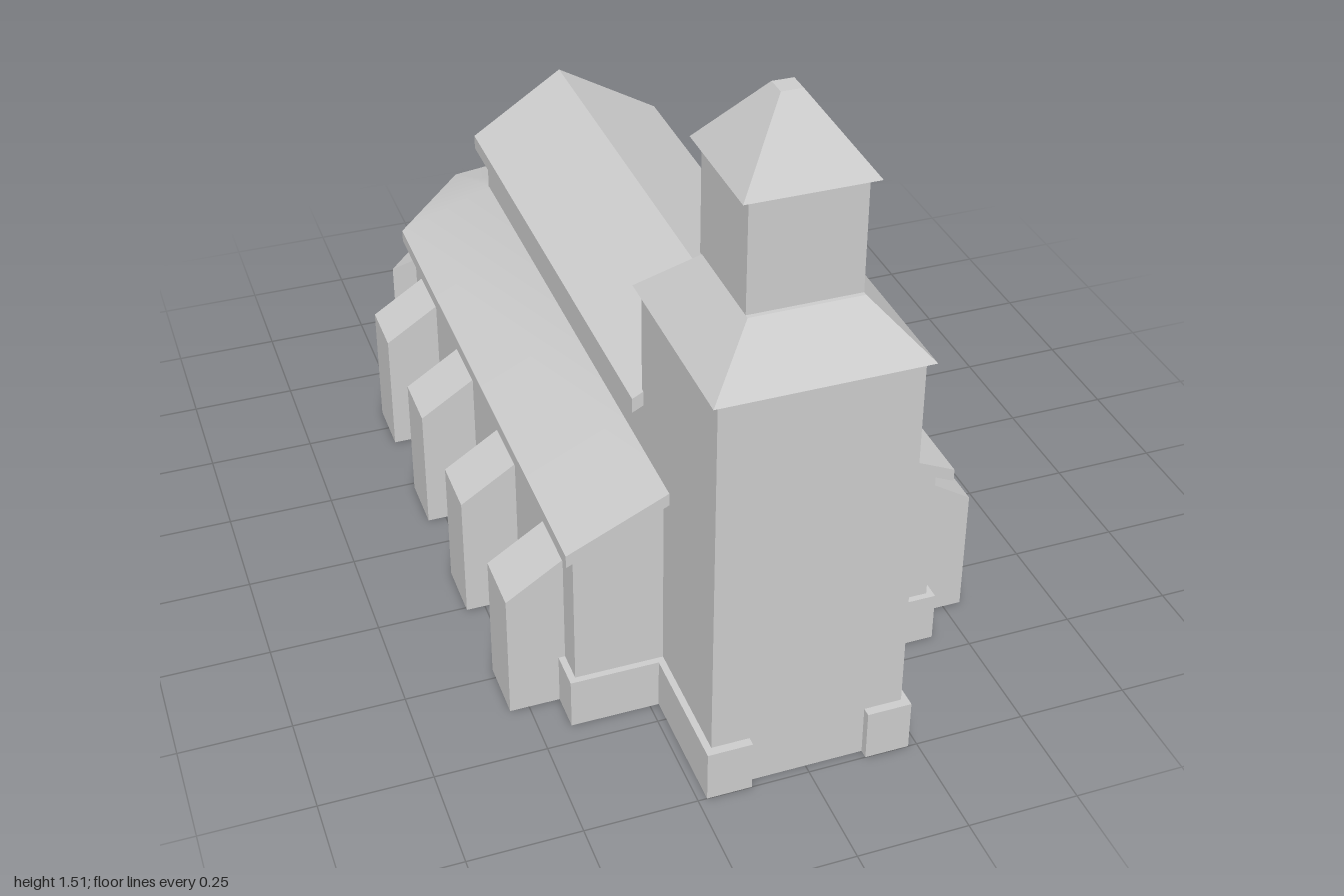
import * as THREE from 'three';
import { toCreasedNormals } from 'three/addons/utils/BufferGeometryUtils.js';

const stone = new THREE.MeshStandardMaterial({ color: 0xcccccc, side: THREE.DoubleSide });
stone.name = 'paleStone';

function mesh(name, geometry) {
  const m = new THREE.Mesh(toCreasedNormals(geometry, 0.5), stone);
  m.name = name;
  return m;
}

// Skin through sections [[x, y, z], ...]; optional closed profile and end caps
function loft(sections, { closed = false, caps = false } = {}) {
  const n = sections[0].length, pos = [], idx = [];
  sections.forEach(s => s.forEach(p => pos.push(...p)));
  for (let i = 0; i < sections.length - 1; i++) {
    for (let j = 0; j < (closed ? n : n - 1); j++) {
      const k = (j + 1) % n;
      const a = i * n + j, b = a + n, c = (i + 1) * n + k, d = i * n + k;
      idx.push(a, b, c, a, c, d);
    }
  }
  if (caps) {
    const last = (sections.length - 1) * n;
    for (let j = 1; j < n - 1; j++) {
      idx.push(0, j, j + 1, last, last + j + 1, last + j);
    }
  }
  const g = new THREE.BufferGeometry();
  g.setAttribute('position', new THREE.Float32BufferAttribute(pos, 3));
  g.setIndex(idx);
  return g;
}

// Completes a half run of sections (left side to the rear) with its mirror image
function mirrored(half) {
  const other = half.map(s => s.map(([x, y, z]) => [-x, y, z])).reverse();
  if (half[half.length - 1].every(p => p[0] === 0)) other.shift();
  return [...half, ...other];
}

// Four-sided block or frustum given by its half widths
function square(bottom, top, y0, y1, z, open) {
  const g = new THREE.CylinderGeometry(top * Math.SQRT2, bottom * Math.SQRT2, y1 - y0, 4, 1, open);
  return g.rotateY(Math.PI / 4).translate(0, (y0 + y1) / 2, z);
}

export function createModel() {
  const church = new THREE.Group();
  church.name = 'church';

  // Tower
  const tower = new THREE.Group();
  tower.name = 'tower';
  tower.add(
    mesh('towerShaft', square(0.215, 0.215, 0, 0.99, 0.765, true)),
    mesh('towerSkirtRoof', square(0.23, 0.122, 0.988, 1.102, 0.767)),
    mesh('belfry', square(0.122, 0.122, 1.1, 1.357, 0.757, true)),
    mesh('spire', square(0.14, 0.023, 1.355, 1.51, 0.757)),
  );
  church.add(tower);

  // Aisle and apse walls: x, z, top height
  const wall = [[0.215, 0.685, 0.56], [0.415, 0.685, 0.463], [0.415, -0.635, 0.463],
    [0.22, -0.855, 0.468], [0, -0.895, 0.468]];
  church.add(mesh('aisleWalls', loft(mirrored(wall.map(([x, z, h]) => [[x, 0, z], [x, h, z]])))));

  // Lean-to roof wrapped round the apse: eave x, z and head x, z
  const lean = [[0.44, 0.72, 0.212, 0.72], [0.44, -0.657, 0.212, -0.625],
    [0.235, -0.895, 0.17, -0.64], [0, -0.94, 0, -0.675]];
  church.add(mesh('aisleRoof', loft(mirrored(lean.map(([x, z, u, w]) => [
    [x, 0.455, z], [x, 0.485, z], [u, 0.59, w], [u, 0.56, w],
  ])), { closed: true, caps: true })));

  // Plinth, left open at the doorway: outer x, z and inner x, z
  const plinth = [[0.13, 1, 0.13, 0.97], [0.23, 1, 0.21, 0.97], [0.23, 0.7, 0.21, 0.68],
    [0.43, 0.7, 0.41, 0.68], [0.43, -0.64, 0.41, -0.632], [0.228, -0.872, 0.217, -0.85],
    [0, -0.913, 0, -0.89]];
  church.add(mesh('plinth', loft(mirrored(plinth.map(([x, z, u, w]) => [
    [x, 0, z], [x, 0.12, z], [u, 0.12, w], [u, 0, w],
  ])), { caps: true })));

  // Raised nave walls
  const nave = [[0.215, 0.56, 0.72], [0.215, -0.63, 0.72], [0, -0.68, 0.825]];
  church.add(mesh('naveWalls', loft(mirrored(nave.map(([x, z, h]) => [[x, 0.55, z], [x, h, z]])))));

  // Nave roof with a pointed rear overhang
  const roofSection = (eaveZ, ridgeZ) => [
    [0, 0.815, ridgeZ], [0.24, 0.69, eaveZ], [0.24, 0.725, eaveZ],
    [0, 0.85, ridgeZ], [-0.24, 0.725, eaveZ], [-0.24, 0.69, eaveZ],
  ];
  church.add(mesh('naveRoof', loft([roofSection(0.56, 0.56), roofSection(-0.655, -0.7)],
    { closed: true, caps: true })));

  // Buttresses, built outwards along +x from their outer face
  const buttressGeometry = loft([0.07, -0.07].map(z => [
    [0, 0, z], [0, 0.305, z], [-0.14, 0.395, z], [-0.14, 0, z],
  ]), { caps: true });
  const buttress = (x, z, angle) => {
    const b = mesh('buttress', buttressGeometry);
    b.position.set(x, 0, z);
    b.rotation.y = angle;
    church.add(b);
  };
  for (const side of [1, -1]) {
    const turn = a => (side > 0 ? a : Math.PI - a);
    for (const z of [0.543, 0.188, -0.163, -0.503]) buttress(side * 0.543, z, turn(0));
    buttress(side * 0.402, -0.825, turn(0.71));
    buttress(side * 0.145, -0.986, turn(1.385));
  }
  return church;
}
